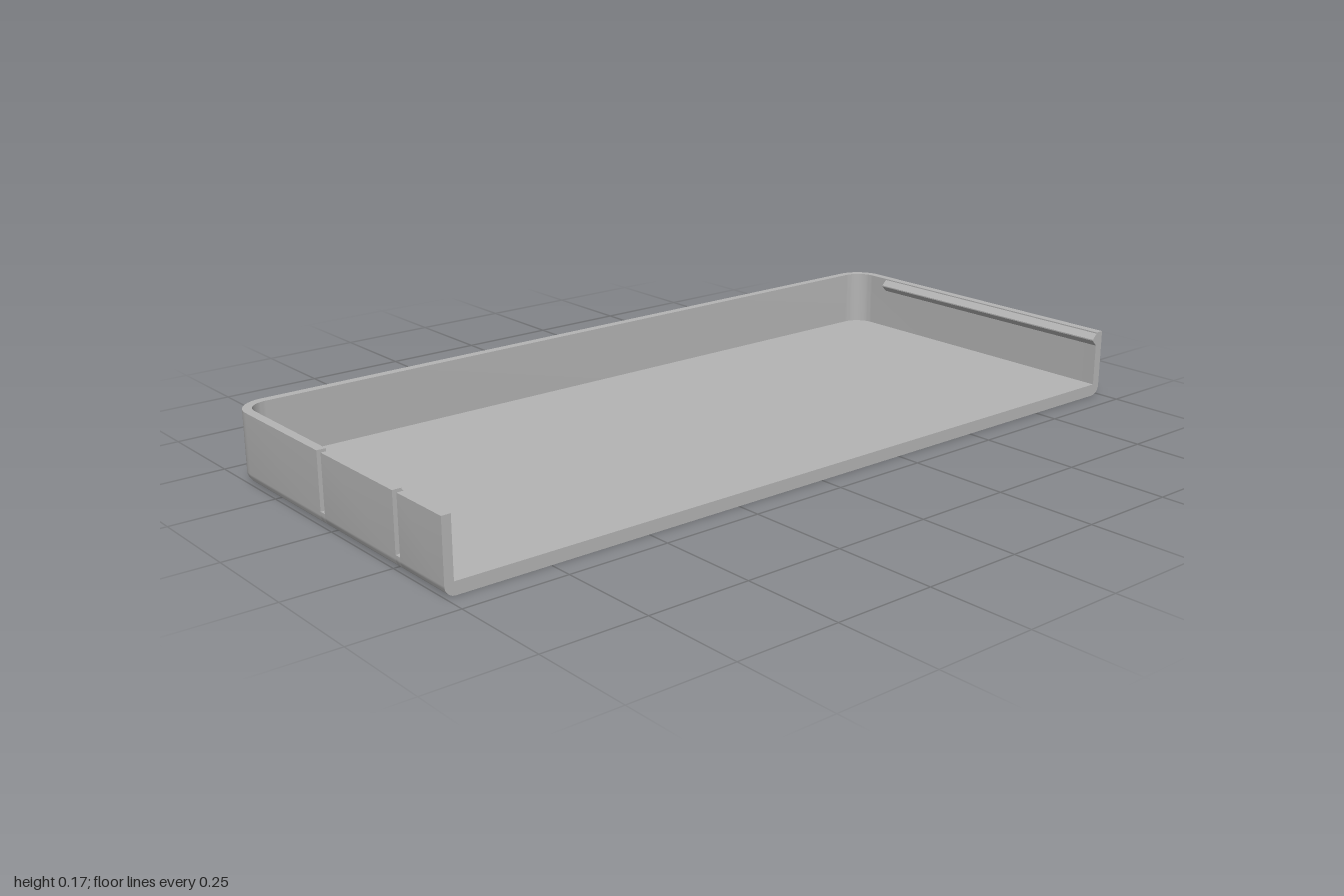
import * as THREE from 'three';
import { toCreasedNormals } from 'three/addons/utils/BufferGeometryUtils.js';

const X = 0.44, Z = 1, TOP = 0.17, FLOOR = 0.03;
const WALL = 0.022, CORNER = 0.075, FILLET = 0.025, RIM = 0.03;
const SLOTS = [[0.262, 0.279], [-0.042, -0.024]], SLOT_BOTTOM = 0.033;

// Stations on the outer outline: position plus outward normal
const frontStation = (x) => ({ x, z: Z, nx: 0, nz: 1 });

function cornerStations(cz, from, to, steps = 12) {
  const list = [];
  for (let i = 0; i <= steps; i++) {
    const a = from + ((to - from) * i) / steps;
    const nx = Math.cos(a), nz = Math.sin(a);
    list.push({ x: -X + CORNER + CORNER * nx, z: cz + CORNER * nz, nx, nz });
  }
  return list;
}

const aroundBack = () => [
  ...cornerStations(Z - CORNER, Math.PI / 2, Math.PI),
  ...cornerStations(-Z + CORNER, Math.PI, Math.PI * 1.5),
  { x: X, z: -Z, nx: 0, nz: -1 },
];

// Wall cross-section as (inset from outline, height), with a rounded bottom edge
function wallSection(top) {
  const pts = [new THREE.Vector2(RIM, 0)];
  for (let i = 0; i <= 6; i++) {
    const a = (i / 6) * Math.PI / 2;
    pts.push(new THREE.Vector2(FILLET * (1 - Math.sin(a)), FILLET * (1 - Math.cos(a))));
  }
  pts.push(new THREE.Vector2(0, top), new THREE.Vector2(WALL, top),
    new THREE.Vector2(WALL, FLOOR), new THREE.Vector2(RIM, FLOOR));
  return pts;
}

// Sweep the section along the stations and cap both ends
function sweepWall(stations, top) {
  const section = wallSection(top), n = section.length, last = (stations.length - 1) * n;
  const pos = [], index = [];
  for (const s of stations) {
    for (const p of section) pos.push(s.x - s.nx * p.x, p.y, s.z - s.nz * p.x);
  }
  for (let i = 0; i < stations.length - 1; i++) {
    for (let j = 0; j < n; j++) {
      const a = i * n + j, b = i * n + ((j + 1) % n);
      index.push(a, b, b + n, a, b + n, a + n);
    }
  }
  for (const [a, p, q] of THREE.ShapeUtils.triangulateShape(section, [])) {
    const ccw = THREE.ShapeUtils.area([section[a], section[p], section[q]]) > 0;
    const [b, c] = ccw ? [p, q] : [q, p];
    index.push(a, b, c, last + a, last + c, last + b);
  }
  const geo = new THREE.BufferGeometry();
  geo.setAttribute('position', new THREE.Float32BufferAttribute(pos, 3));
  geo.setIndex(index);
  return toCreasedNormals(geo, 0.6);
}

// Floor plate filling the area inside the swept rim
function floorGeometry() {
  const inner = [frontStation(X), ...aroundBack()]
    .map((s) => new THREE.Vector2(s.x - s.nx * RIM, s.z - s.nz * RIM));
  const geo = new THREE.ExtrudeGeometry(new THREE.Shape(inner), { depth: FLOOR, bevelEnabled: false });
  return geo.rotateX(Math.PI / 2).translate(0, FLOOR, 0);
}

// Wedge-shaped catch running along x on the inner face of the back wall
function ridgeGeometry(x0, x1) {
  const inner = Z - WALL;
  const shape = new THREE.Shape([
    new THREE.Vector2(inner + 0.004, 0.135),
    new THREE.Vector2(inner, 0.135),
    new THREE.Vector2(inner - 0.014, 0.15),
    new THREE.Vector2(inner - 0.014, 0.153),
    new THREE.Vector2(inner, 0.167),
    new THREE.Vector2(inner + 0.004, 0.167),
  ]);
  const geo = new THREE.ExtrudeGeometry(shape, { depth: x1 - x0, bevelEnabled: false });
  return geo.rotateY(Math.PI / 2).translate(x0, 0, 0);
}

export function createModel() {
  const model = new THREE.Group();
  model.name = 'openTray';
  const plastic = new THREE.MeshStandardMaterial({ color: 0xb4b4b4 });
  plastic.name = 'greyPlastic';
  const add = (name, geo) => {
    const mesh = new THREE.Mesh(geo, plastic);
    mesh.name = name;
    model.add(mesh);
    return mesh;
  };

  add('floor', floorGeometry());

  // Front wall pieces, separated by low sills under the two slots
  let start = X;
  for (const [x0, x1] of SLOTS) {
    add('frontWall', sweepWall([frontStation(start), frontStation(x1)], TOP));
    add('slotSill', sweepWall([frontStation(x1), frontStation(x0)], SLOT_BOTTOM));
    start = x0;
  }
  // Remaining wall around both corners to the open side
  add('outerWall', sweepWall([frontStation(start), ...aroundBack()], TOP));

  // Catches: a long one on the back wall, a short one on the flexible front tab
  add('backRidge', ridgeGeometry(-0.31, X));
  const clip = add('frontClip', ridgeGeometry(-SLOTS[0][0], -SLOTS[1][1]));
  clip.rotation.y = Math.PI;

  return model;
}
